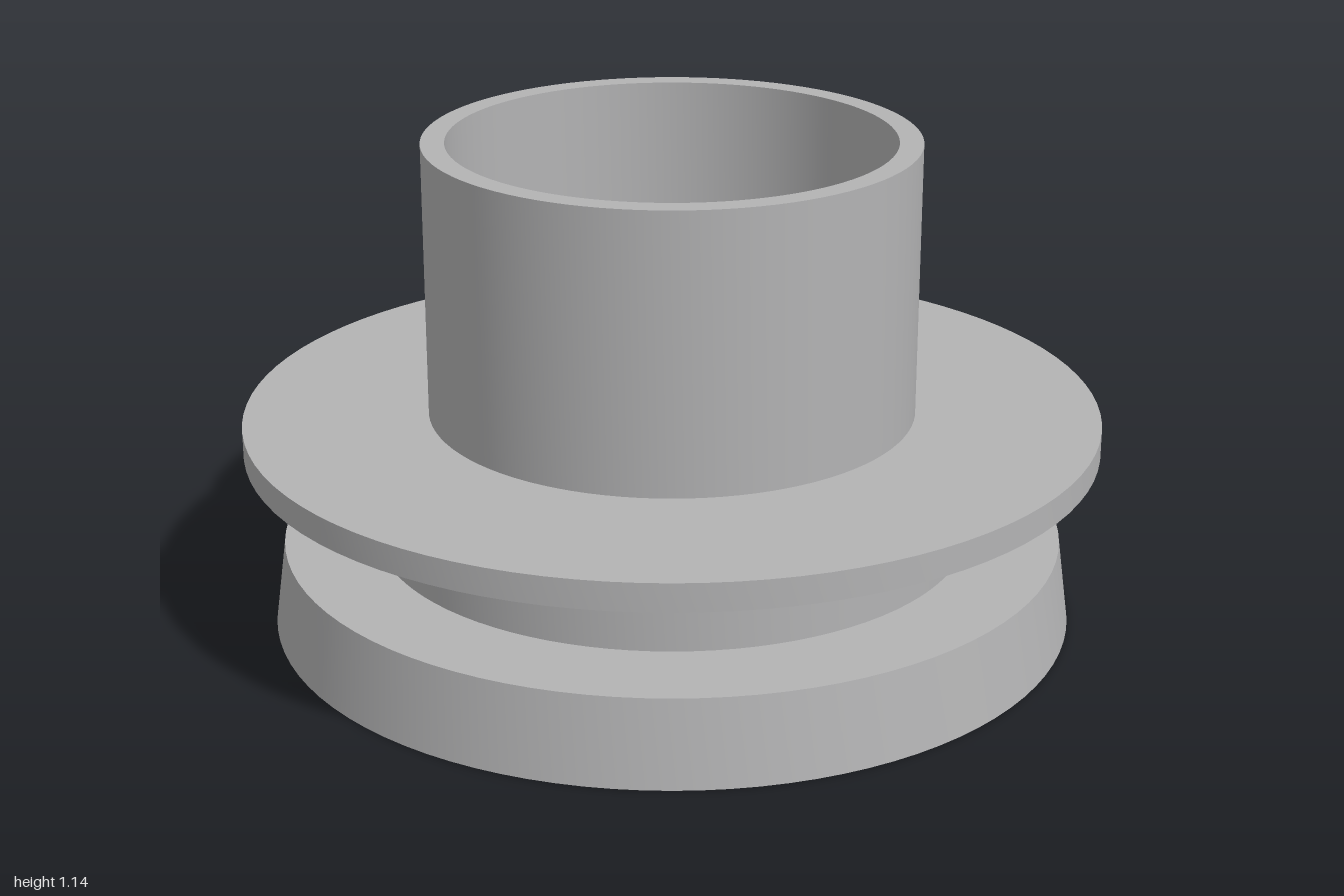
import * as THREE from 'three';
import { toCreasedNormals } from 'three/addons/utils/BufferGeometryUtils.js';

const SEGMENTS = 96;

export function createModel() {
  const model = new THREE.Group();
  model.name = 'flangedSleeve';

  const grey = new THREE.MeshStandardMaterial({ color: 0xb3b3b4 });
  grey.name = 'grey metal';
  const red = new THREE.MeshStandardMaterial({ color: 0xb87070 });
  red.name = 'muted red';

  // Turned ring: bore radius, outer radius at the bottom and top, bottom and top height
  function ring(name, bore, outerBottom, outerTop, y0, y1) {
    const profile = [
      [bore, y0], [outerBottom, y0], [outerTop, y1], [bore, y1], [bore, y0],
    ].map(([r, y]) => new THREE.Vector2(r, y));
    const geometry = toCreasedNormals(new THREE.LatheGeometry(profile, SEGMENTS), 0.6);
    const mesh = new THREE.Mesh(geometry, grey);
    mesh.name = name;
    model.add(mesh);
  }

  ring('taperedBase', 0.2, 0.945, 0.917, 0, 0.2);
  ring('neck', 0.2, 0.7, 0.7, 0.2, 0.435);
  ring('flange', 0.225, 1, 1, 0.435, 0.5);
  ring('openSleeve', 0.515, 0.57, 0.57, 0.5, 1.145);

  // Core pin, flush with the underside and with the neck inside the flange bore
  const core = new THREE.Mesh(new THREE.CylinderGeometry(0.2, 0.2, 0.435, SEGMENTS), red);
  core.name = 'corePin';
  core.position.y = 0.2175;
  model.add(core);

  return model;
}
